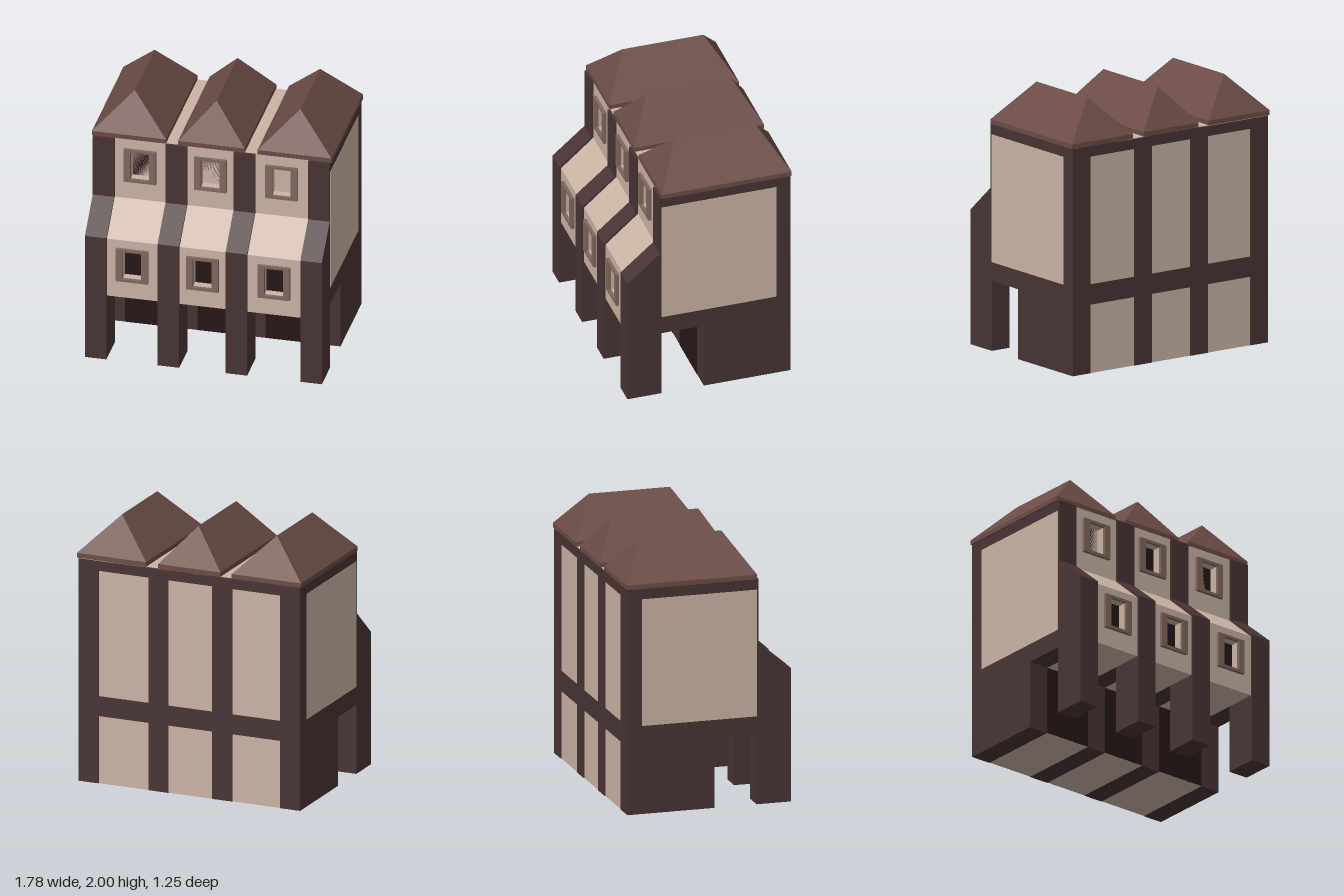
import * as THREE from 'three';
import { ConvexGeometry } from 'three/addons/geometries/ConvexGeometry.js';

const mat = (color) => new THREE.MeshStandardMaterial({ color, flatShading: true });
const wood = mat(0x483434), plaster = mat(0xc9b4a4), roofTile = mat(0x6b4b45);
const trim = mat(0x80685f), dark = mat(0x281717);

export function createModel() {
  const model = new THREE.Group();

  const add = (name, geometry, material) => {
    const mesh = new THREE.Mesh(geometry, material);
    mesh.name = name;
    model.add(mesh);
  };

  // Box given by its limits
  const box = (name, material, x0, x1, y0, y1, z0, z1) => {
    const g = new THREE.BoxGeometry(x1 - x0, y1 - y0, z1 - z0);
    g.translate((x0 + x1) / 2, (y0 + y1) / 2, (z0 + z1) / 2);
    add(name, g, material);
  };

  // Side profile of [z, y] points, extruded from x0 to x1
  const profile = (name, material, points, x0, x1) => {
    const shape = new THREE.Shape(points.map(([z, y]) => new THREE.Vector2(z, y)));
    const g = new THREE.ExtrudeGeometry(shape, { depth: x1 - x0, bevelEnabled: false });
    g.rotateY(-Math.PI / 2).translate(x1, 0, 0);
    add(name, g, material);
  };

  const rect = (Type, x0, x1, y0, y1) => new Type([
    new THREE.Vector2(x0, y0), new THREE.Vector2(x1, y0),
    new THREE.Vector2(x1, y1), new THREE.Vector2(x0, y1)]);

  // Upright slab with a rectangular opening; limits are [x0, x1, y0, y1]
  const pierced = (name, material, outer, hole, z0, z1) => {
    const shape = rect(THREE.Shape, ...outer);
    shape.holes.push(rect(THREE.Path, ...hole));
    const g = new THREE.ExtrudeGeometry(shape, { depth: z1 - z0, bevelEnabled: false });
    add(name, g.translate(0, 0, z0), material);
  };

  // Timber piers, each with a leg in front of the open passage
  const pierProfile = [[0.62, 0], [0.62, 1], [0.375, 1.21], [0.375, 1.69], [-0.62, 1.69],
    [-0.62, 0], [0.04, 0], [0.04, 0.52], [0.36, 0.52], [0.36, 0]];
  const piers = [[-0.88, -0.72], [-0.34, -0.18], [0.165, 0.325], [0.72, 0.88]];
  for (const [x0, x1] of piers) profile('pier', wood, pierProfile, x0, x1);

  // Plaster bays between the piers
  const bayProfile = [[0.54, 0.52], [0.54, 0.99], [0.605, 0.99], [0.36, 1.205], [0.3, 1.205],
    [0.3, 1.69], [-0.615, 1.69], [-0.615, 0], [0.04, 0], [0.04, 0.52]];
  for (let i = 0; i < 3; i++) {
    const x0 = piers[i][1], x1 = piers[i + 1][0], c = (x0 + x1) / 2;
    profile('bay', plaster, bayProfile, x0, x1);
    box('passageWall', dark, x0, x1, 0.001, 0.519, 0.03, 0.043);
    box('backMiddleBeam', wood, x0, x1, 0.51, 0.66, -0.62, -0.6);
    box('backTopBeam', wood, x0, x1, 1.61, 1.69, -0.62, -0.6);

    // Front walls with framed windows: [wall bottom, wall top, frame bottom, wall face z]
    for (const [y0, y1, w, z] of [[0.52, 0.99, 0.66, 0.605], [1.205, 1.69, 1.35, 0.36]]) {
      const frame = [c - 0.12, c + 0.12, w, w + 0.265];
      const hole = [c - 0.07, c + 0.07, w + 0.022, w + 0.245];
      pierced('frontWall', plaster, [x0, x1, y0, y1], hole, z - 0.065, z);
      pierced('windowFrame', trim, frame, hole, z, z + 0.024);
      box('windowPane', dark, ...hole, z - 0.066, z - 0.06);
    }
  }

  // Plaster panels on the end walls
  for (const s of [-1, 1]) {
    box('sidePanel', plaster, s * 0.88 - 0.002, s * 0.88 + 0.002, 0.66, 1.61, -0.51, 0.36);
  }

  // Flat roof deck seen in the gutters
  box('roofDeck', plaster, -0.87, 0.87, 1.685, 1.692, -0.62, 0.355);

  // Hipped roofs with a short upright eave: [x0, x1, hip run]
  for (const [x0, x1, run] of [[-0.89, -0.34, 0.185], [-0.25, 0.245, 0.165], [0.34, 0.89, 0.185]]) {
    const points = [];
    for (const [z, ridgeZ] of [[0.36, 0.36 - run], [-0.625, -0.625 + run]]) {
      for (const x of [x0, x1]) {
        for (const y of [1.69, 1.725]) points.push(new THREE.Vector3(x, y, z));
      }
      points.push(new THREE.Vector3((x0 + x1) / 2, 2, ridgeZ));
    }
    add('hippedRoof', new ConvexGeometry(points), roofTile);
  }

  return model;
}
